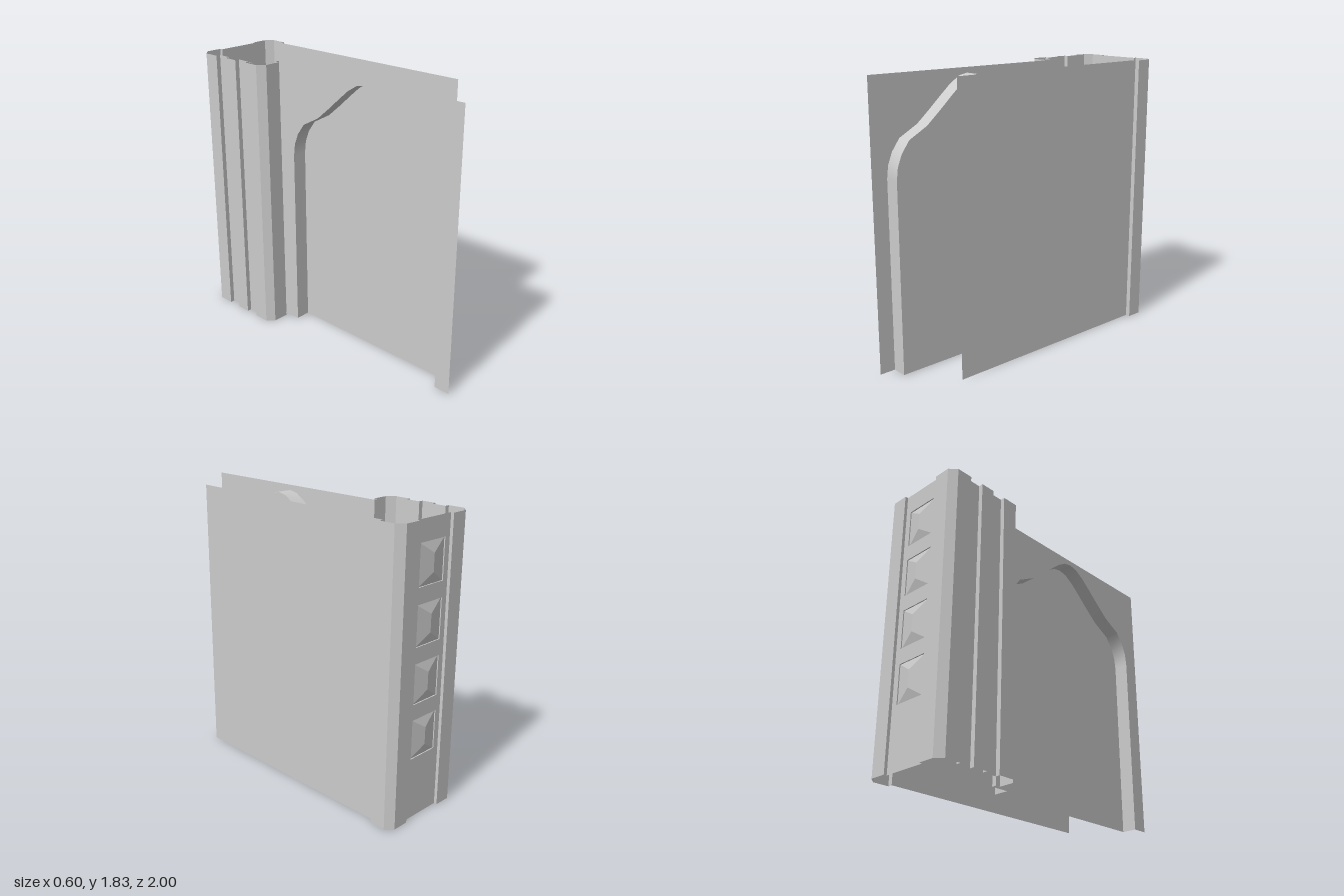
import * as THREE from 'three';

const H = 1.83;
const material = new THREE.MeshStandardMaterial({ color: 0xcccccc, side: THREE.DoubleSide });

// Strip swept from a polyline: each point gives a bottom and top corner via place()
function strip(points, place, smooth = false) {
  const pos = [], index = [];
  points.forEach((p) => pos.push(...place(p, 0), ...place(p, 1)));
  for (let i = 0; i < points.length - 1; i++) {
    const a = i * 2;
    index.push(a, a + 2, a + 1, a + 1, a + 2, a + 3);
  }
  let g = new THREE.BufferGeometry();
  g.setAttribute('position', new THREE.Float32BufferAttribute(pos, 3));
  g.setIndex(index);
  if (!smooth) g = g.toNonIndexed();
  g.computeVertexNormals();
  return g;
}

// Upright sheet following a plan outline of [x, z] points
const wall = (points) => strip(points, ([x, z], t) => [x, t * H, z]);

// Flat sheet facing -x, drawn as [z, y] points
function sidePanel(points, x) {
  const shape = new THREE.Shape(points.map(([z, y]) => new THREE.Vector2(z, y)));
  return new THREE.ShapeGeometry(shape).rotateY(-Math.PI / 2).translate(x, 0, 0);
}

// Shallow hipped boss sitting on the floor of a rectangular pocket
function pocketBoss(w, h, rim, floor, peak) {
  const ridge = 0.055;
  const c = [[-w, -h], [w, -h], [w, h], [-w, h]];
  const top = [[0, -ridge], [0, -ridge], [0, ridge], [0, ridge]];
  const pos = [];
  const quad = (a, b, d, e) => pos.push(...a, ...d, ...b, ...a, ...e, ...d);
  for (let i = 0; i < 4; i++) {
    const j = (i + 1) % 4;
    quad([...c[i], rim], [...c[j], rim], [...c[j], floor], [...c[i], floor]);
    quad([...c[i], floor], [...c[j], floor], [...top[j], peak], [...top[i], peak]);
  }
  const g = new THREE.BufferGeometry();
  g.setAttribute('position', new THREE.Float32BufferAttribute(pos, 3));
  g.computeVertexNormals();
  return g;
}

export function createModel() {
  const group = new THREE.Group();
  const add = (name, geometry) => {
    const mesh = new THREE.Mesh(geometry, material);
    mesh.name = name;
    group.add(mesh);
    return mesh;
  };

  const plateX = 0.147, plateZ = -0.98;

  // Plain side sheet and its rounded-off column edge
  add('leftSideWall', wall([[0.27, 0.67], [0.27, -0.85]]));
  add('leftColumn', wall([
    [0.27, -0.85], [0.3, -0.85], [0.3, -0.955], [0.255, -1], [plateX, -1], [plateX, plateZ],
  ]));

  // Ribbed column on the other side, returning inwards to the niche wall
  add('ribbedColumn', wall([
    [-plateX, plateZ], [-plateX, -1], [-0.255, -1], [-0.3, -0.955],
    [-0.3, -0.85], [-0.27, -0.85], [-0.27, -0.755], [-0.3, -0.755],
    [-0.3, -0.66], [-0.27, -0.66], [-0.27, -0.565], [-0.3, -0.565],
    [-0.3, -0.46], [-0.255, -0.415], [-0.15, -0.415], [-0.15, -0.445], [-0.12, -0.445],
  ]));

  // Back plate with four pockets
  const w = 0.107, h = 0.125;
  const bossY = [0.525, 0.875, 1.225, 1.575];
  const plate = new THREE.Shape([
    new THREE.Vector2(-plateX, 0), new THREE.Vector2(plateX, 0),
    new THREE.Vector2(plateX, H), new THREE.Vector2(-plateX, H),
  ]);
  for (const y of bossY) {
    plate.holes.push(new THREE.Path([
      new THREE.Vector2(-w, y - h), new THREE.Vector2(-w, y + h),
      new THREE.Vector2(w, y + h), new THREE.Vector2(w, y - h),
    ]));
  }
  add('backPlate', new THREE.ShapeGeometry(plate).rotateY(Math.PI).translate(0, 0, plateZ));
  const boss = pocketBoss(w, h, plateZ, -0.973, -0.994);
  for (const y of bossY) add('pyramidBoss', boss).position.y = y;

  // Ogee arch outline, mirrored about its centre line, as [z, y]
  const mid = 0.285;
  const half = [
    [0.61, 0], [0.61, 1.22], [0.6, 1.3], [0.57, 1.375], [0.515, 1.45], [0.385, 1.52],
    [0.29, 1.6], [0.2, 1.68], [0.13, 1.74], [0.06, 1.783],
  ];
  const arch = [
    ...half.map(([d, y]) => [mid + d, y]),
    [mid, 1.795],
    ...half.slice().reverse().map(([d, y]) => [mid - d, y]),
  ];

  // Niche: outer wall around the arch, curved reveal and recessed panel
  add('nicheWall', sidePanel([[-0.445, 0], [-0.445, H], [1, H], [1, 0], ...arch], -0.12));
  add('nicheReveal', strip(arch, ([z, y], t) => [-0.12 + t * 0.1, y, z], true));
  add('nichePanel', sidePanel(arch, -0.02));

  return group;
}
